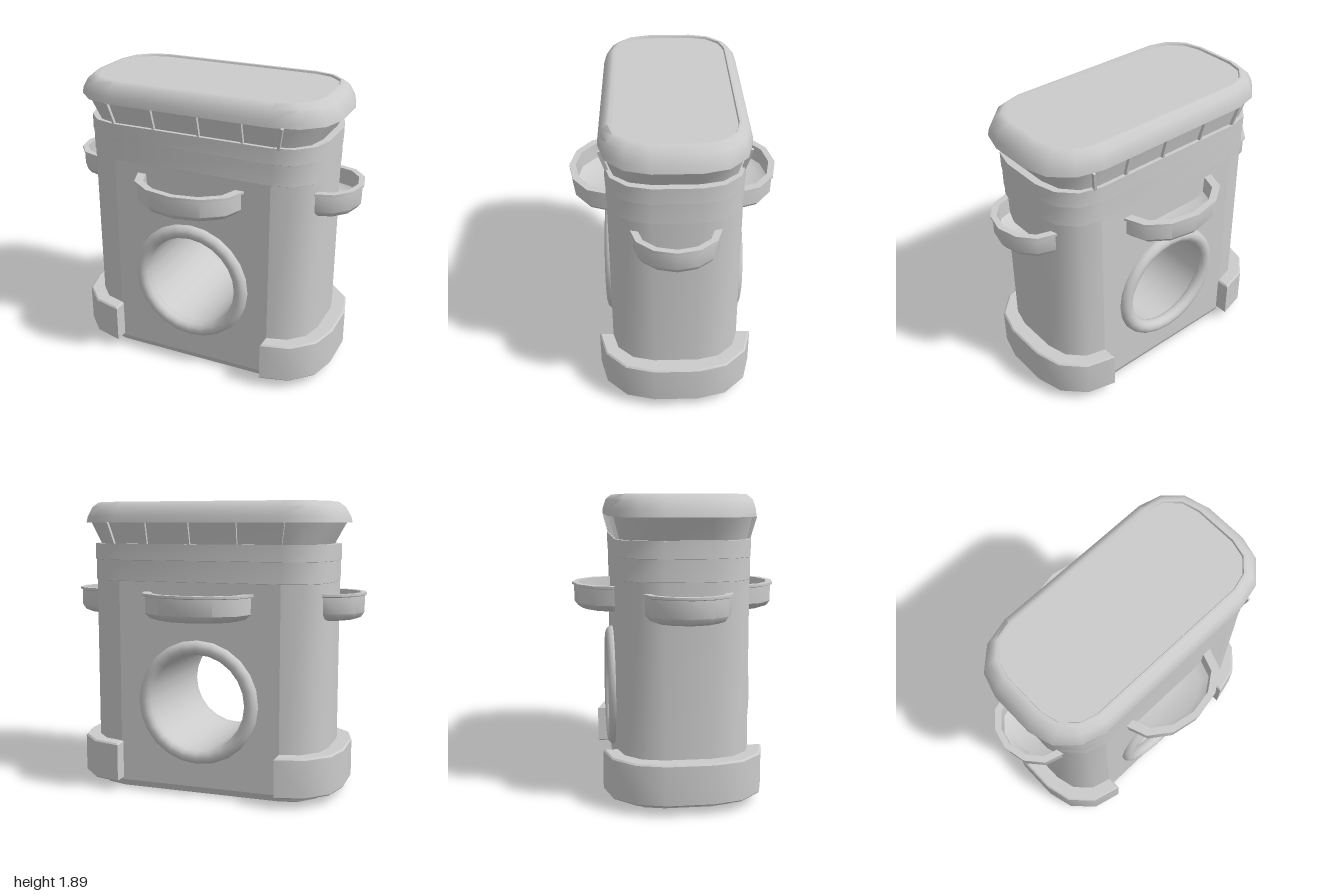
import * as THREE from 'three';
import { toCreasedNormals } from 'three/addons/utils/BufferGeometryUtils.js';

const grey = new THREE.MeshStandardMaterial({ color: 0xcccccc });
const greyDouble = new THREE.MeshStandardMaterial({ color: 0xcccccc, side: THREE.DoubleSide });
const CORNER_X = 0.54, CORNER_Z = 0.14; // centres of the rounded corners
const HOLE_Y = 0.615;

// Rounded-rectangle footprint as [x, z] points, four points per corner
function outline(halfW, halfD) {
  const points = [];
  for (let corner = 0; corner < 4; corner++) {
    const sx = corner === 0 || corner === 3 ? 1 : -1;
    const sz = corner < 2 ? 1 : -1;
    for (let i = 0; i < 4; i++) {
      const a = (corner + i / 3) * Math.PI / 2;
      points.push(halfW === 0 ? [0, 0] : [
        sx * CORNER_X + (halfW - CORNER_X) * Math.cos(a),
        sz * CORNER_Z + (halfD - CORNER_Z) * Math.sin(a),
      ]);
    }
  }
  return points;
}

// Skin through rings of [halfWidth, halfDepth, y]; a zero ring closes to a point
function loft(rings, skipFlats = false) {
  const positions = [], index = [], n = 16;
  for (const [w, d, y] of rings) for (const [x, z] of outline(w, d)) positions.push(x, y, z);
  for (let i = 0; i < rings.length - 1; i++) {
    for (let j = 0; j < n; j++) {
      if (skipFlats && (j === 3 || j === 11)) continue;
      const a = i * n + j, b = i * n + (j + 1) % n;
      if (rings[i][0] > 0) index.push(a, a + n, b);
      if (rings[i + 1][0] > 0) index.push(b, a + n, b + n);
      else if (rings[i][0] === 0) continue;
    }
  }
  const geometry = new THREE.BufferGeometry();
  geometry.setAttribute('position', new THREE.Float32BufferAttribute(positions, 3));
  geometry.setIndex(index);
  return toCreasedNormals(geometry, 0.7);
}

export function createModel() {
  const model = new THREE.Group();
  function add(name, geometry, material = grey) {
    const mesh = new THREE.Mesh(geometry, material);
    mesh.name = name;
    model.add(mesh);
    return mesh;
  }

  // Body shell: chamfered base, curved end walls, two bands at the top
  add('base', loft([[0, 0, 0], [0.75, 0.36, 0], [0.78, 0.39, 0.012], [0.8, 0.41, 0.055]]));
  add('endWalls', loft([[0.8, 0.41, 0.055], [0.8, 0.41, 1.385]], true));
  add('lowerBand', loft([[0.8, 0.41, 1.385], [0.804, 0.413, 1.387], [0.804, 0.413, 1.52]]));
  add('upperBand', loft([[0.804, 0.413, 1.52], [0.809, 0.416, 1.522], [0.809, 0.416, 1.625], [0.74, 0.36, 1.625]]));

  // Flared neck and lid with a shallow recess
  add('neck', loft([[0.76, 0.39, 1.62], [0.84, 0.428, 1.765]]));
  add('lid', loft([
    [0.8, 0.4, 1.76], [0.875, 0.448, 1.76], [0.865, 0.445, 1.8], [0.83, 0.425, 1.86],
    [0.785, 0.385, 1.893], [0.765, 0.365, 1.893], [0.76, 0.36, 1.88], [0, 0, 1.88],
  ]));

  // Front and back walls with a round opening, each with a ring and neck ribs
  const panel = new THREE.Shape();
  panel.moveTo(-CORNER_X, 0.055);
  panel.lineTo(CORNER_X, 0.055);
  panel.lineTo(CORNER_X, 1.385);
  panel.lineTo(-CORNER_X, 1.385);
  panel.closePath();
  const hole = new THREE.Path();
  hole.absarc(0, HOLE_Y, 0.34, 0, Math.PI * 2, true);
  panel.holes.push(hole);
  const panelGeometry = new THREE.ShapeGeometry(panel, 24);
  const ringGeometry = new THREE.TorusGeometry(0.358, 0.046, 12, 24);
  const ribGeometry = new THREE.BoxGeometry(0.016, 0.15, 0.022);
  const ribs = [[-0.535, -0.56], [-0.25, -0.255], [0.06, 0.06], [0.35, 0.35], [0.58, 0.61]];
  for (const side of [1, -1]) {
    const end = side > 0 ? 'front' : 'back';
    const wall = add(end + 'Wall', panelGeometry);
    wall.position.z = side * 0.41;
    if (side < 0) wall.rotation.y = Math.PI;
    add(end + 'OpeningRing', ringGeometry).position.set(0, HOLE_Y, side * 0.41);
    for (const [bottom, top] of ribs) {
      const rib = add(end + 'NeckRib', ribGeometry);
      rib.position.set((bottom + top) / 2, 1.69, side * 0.417);
      rib.rotation.set(side * 0.255, 0, -Math.atan2(top - bottom, 0.14));
    }
  }

  // Tunnel through the body
  const tunnel = new THREE.CylinderGeometry(0.318, 0.318, 0.84, 24, 1, true);
  tunnel.rotateX(Math.PI / 2);
  add('tunnel', tunnel, greyDouble).position.y = HOLE_Y;

  // Half-bowl trays with a thin rim on all four sides
  const profile = [
    [0, 1.15], [0.72, 1.15], [0.86, 1.163], [0.95, 1.195], [0.95, 1.3], [1, 1.305],
    [1, 1.32], [0.84, 1.32], [0.82, 1.215], [0.65, 1.185], [0, 1.185],
  ].map(([r, y]) => new THREE.Vector2(r, y));
  const trays = [
    ['frontTray', 0, 0.37, 0.41, 0.265],
    ['leftTray', Math.PI / 2, 0.27, 0.765, 0.235],
    ['backTray', Math.PI, 0.37, 0.41, 0.265],
    ['rightTray', -Math.PI / 2, 0.27, 0.765, 0.235],
  ];
  for (const [name, turn, halfWidth, offset, reach] of trays) {
    const bowl = new THREE.LatheGeometry(profile, 6, -Math.PI / 2, Math.PI);
    bowl.scale(halfWidth, 1, reach);
    bowl.translate(0, 0, offset);
    bowl.rotateY(turn);
    add(name, toCreasedNormals(bowl, 0.65), greyDouble);
  }

  // Bumpers wrapped round the lower ends
  const outer = outline(0.89, 0.49), inner = outline(0.77, 0.38);
  const order = [12, 13, 14, 15, 0, 1, 2, 3]; // the +x half of the footprint
  const path = [...order.map(i => outer[i]), ...order.reverse().map(i => inner[i])];
  const bumper = new THREE.ExtrudeGeometry(
    new THREE.Shape(path.map(([x, z]) => new THREE.Vector2(x, z))),
    { depth: 0.24, bevelEnabled: true, bevelThickness: 0.01, bevelSize: 0.01, bevelSegments: 1 });
  bumper.rotateX(Math.PI / 2);
  bumper.translate(0, 0.31, 0);
  const bumperGeometry = toCreasedNormals(bumper, 0.65);
  add('leftBumper', bumperGeometry);
  add('rightBumper', bumperGeometry).rotation.y = Math.PI;

  return model;
}
